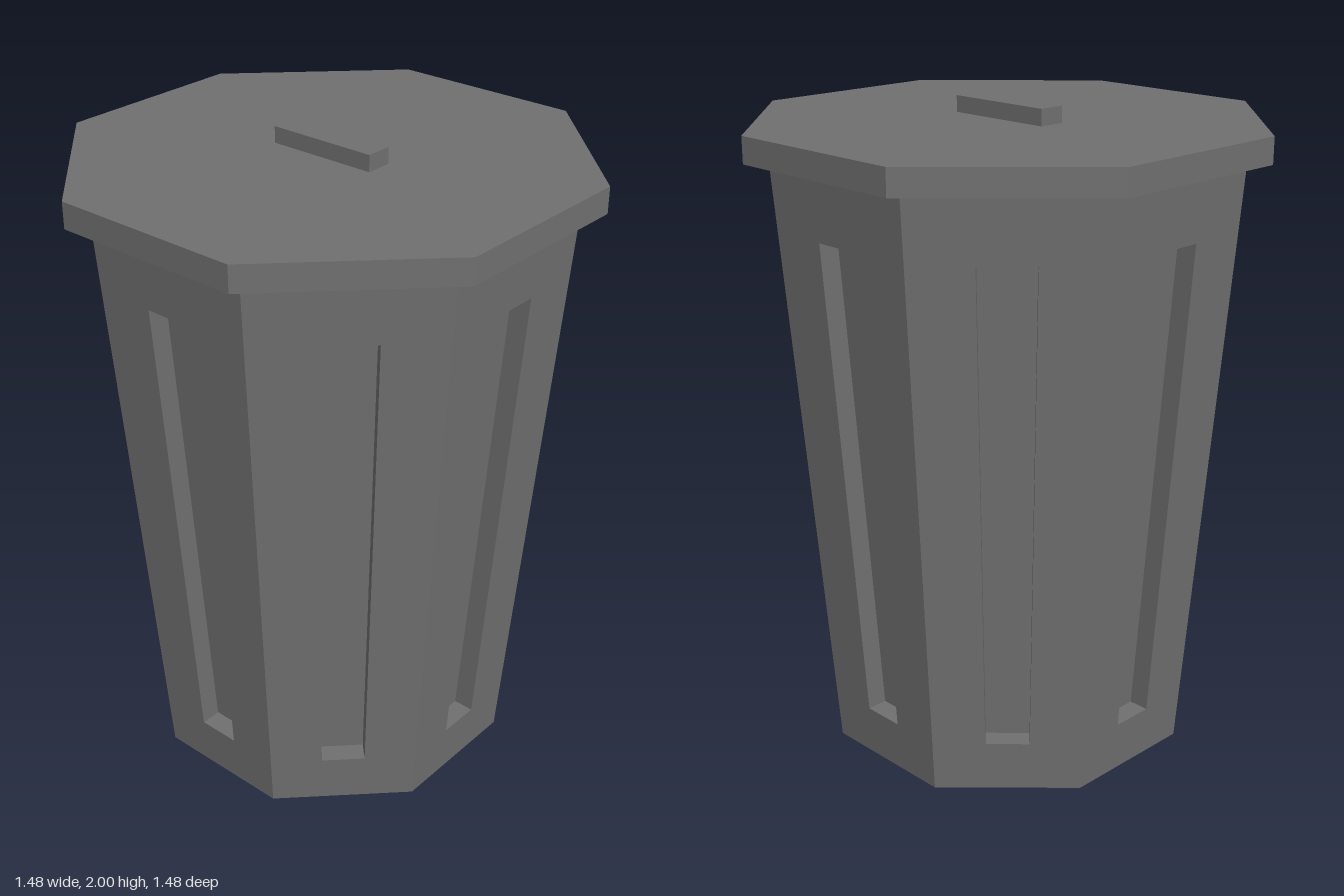
import * as THREE from 'three';

const SIDES = 8;
const BODY_TOP = 1.87;
const TAN = Math.tan(Math.PI / SIDES);

// Distance from the axis to a side panel at height y
const apothem = (y) => 0.535 + (0.67 - 0.535) * (y / BODY_TOP);

// Tapered octagonal body with a recessed groove in every panel
function bodyGeometry() {
  const pos = [];
  const tri = (a, b, c) => pos.push(...a, ...b, ...c);
  const quad = (a, b, c, d) => { tri(a, b, c); tri(a, c, d); };

  for (let s = 0; s < SIDES; s++) {
    const angle = (s / SIDES) * Math.PI * 2;
    const sin = Math.sin(angle), cos = Math.cos(angle);
    // u runs along the panel, depth goes inward
    const point = (u, y, depth = 0) => {
      const n = apothem(y) - depth;
      return [n * sin + u * cos, y, n * cos - u * sin];
    };
    const rect = (y0, w0, y1, w1, depth) => [
      point(-w0, y0, depth), point(w0, y0, depth),
      point(w1, y1, depth), point(-w1, y1, depth),
    ];
    const outer = rect(0, apothem(0) * TAN, BODY_TOP, apothem(BODY_TOP) * TAN, 0);
    const rim = rect(0.16, 0.067, 1.67, 0.083, 0);
    const floor = rect(0.16, 0.067, 1.67, 0.083, 0.065);

    for (let i = 0; i < 4; i++) {
      const j = (i + 1) % 4;
      quad(outer[i], outer[j], rim[j], rim[i]); // panel around the groove
      quad(rim[i], rim[j], floor[j], floor[i]); // groove walls
    }
    quad(...floor);
    tri([0, 0, 0], outer[1], outer[0]); // base
    tri([0, BODY_TOP, 0], outer[3], outer[2]); // top, under the lid
  }

  const geometry = new THREE.BufferGeometry();
  geometry.setAttribute('position', new THREE.Float32BufferAttribute(pos, 3));
  geometry.computeVertexNormals();
  return geometry;
}

export function createModel() {
  const group = new THREE.Group();
  group.name = 'trashCan';

  const material = new THREE.MeshStandardMaterial({ color: 0x707070 });
  material.name = 'grey metal';
  material.flatShading = true;

  const add = (name, geometry, y = 0) => {
    const mesh = new THREE.Mesh(geometry, material);
    mesh.name = name;
    mesh.position.y = y;
    group.add(mesh);
  };

  add('body', bodyGeometry());

  // Overhanging octagonal lid
  const lidRadius = 0.738 / Math.cos(Math.PI / SIDES);
  const lid = new THREE.CylinderGeometry(lidRadius, lidRadius, 0.08, SIDES);
  lid.rotateY(Math.PI / SIDES);
  add('lid', lid, 1.91);

  // Handle bar, sunk slightly into the lid
  add('lidHandle', new THREE.BoxGeometry(0.354, 0.06, 0.084), 1.97);

  return group;
}
